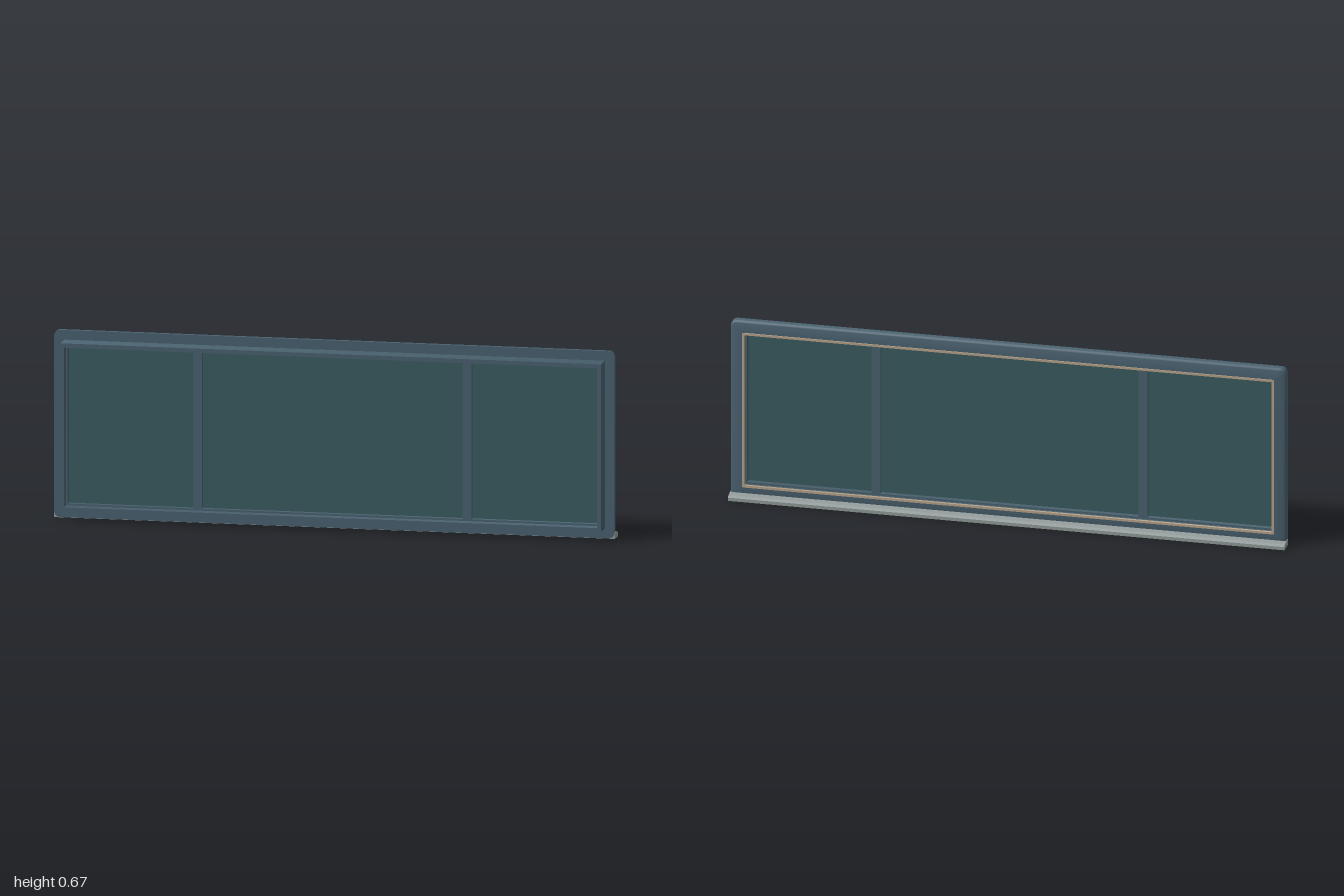
import * as THREE from 'three';
import { toCreasedNormals } from 'three/addons/utils/BufferGeometryUtils.js';

const mat = (color) => new THREE.MeshStandardMaterial({ color });

// Rounded rectangle outline, counter-clockwise seen from the front
function outline(x, y0, y1, r) {
  const pts = [], n = 5;
  const corners = [[x - r, y1 - r], [-x + r, y1 - r], [-x + r, y0 + r], [x - r, y0 + r]];
  corners.forEach(([cx, cy], k) => {
    for (let i = 0; i <= n; i++) {
      const a = (k + i / n) * Math.PI / 2;
      pts.push([cx + r * Math.cos(a), cy + r * Math.sin(a)]);
    }
  });
  return pts;
}

// Closed picture-frame ring: profile points are [inset, z], running
// from the outer front edge to the back and round by the inner edge
function frame(name, x, y0, y1, r, profile, material) {
  const rings = profile.map(([d, z]) =>
    outline(x - d, y0 + d, y1 - d, Math.max(r - d, 0.0005)).map(([px, py]) => [px, py, z]));
  const pos = [], m = rings.length, n = rings[0].length;
  for (let i = 0; i < m; i++) {
    for (let j = 0; j < n; j++) {
      const a = rings[i][j], b = rings[i][(j + 1) % n];
      const c = rings[(i + 1) % m][(j + 1) % n], d = rings[(i + 1) % m][j];
      pos.push(...a, ...d, ...b, ...d, ...c, ...b);
    }
  }
  const g = new THREE.BufferGeometry();
  g.setAttribute('position', new THREE.Float32BufferAttribute(pos, 3));
  const mesh = new THREE.Mesh(toCreasedNormals(g, 0.6), material);
  mesh.name = name;
  return mesh;
}

// Square-edged profile of thickness t between two depths
const bar = (t, front, back) => [[0, front], [0, back], [t, back], [t, front]];

function box(name, w, h, d, x, y, z, material) {
  const mesh = new THREE.Mesh(new THREE.BoxGeometry(w, h, d), material);
  mesh.name = name;
  mesh.position.set(x, y, z);
  return mesh;
}

export function createModel() {
  const group = new THREE.Group();
  group.name = 'window';
  const paint = mat(0x4a6270), glass = mat(0x3a5c60);
  const sealant = mat(0xb8a58c), stone = mat(0x929c9a);

  // Outer casing, rounded over on its back outer edge
  const casing = [[0, -0.004], [0, -0.02], [0.001, -0.025], [0.004, -0.029],
    [0.009, -0.031], [0.046, -0.031], [0.046, -0.004]];
  group.add(frame('casing', 0.999, 0.001, 0.667, 0.022, casing, paint));

  // Deep lining and the sash inside it
  group.add(frame('lining', 0.965, 0.035, 0.633, 0.004, bar(0.015, 0.065, -0.028), paint));
  group.add(frame('sash', 0.951, 0.049, 0.619, 0.001, bar(0.008, 0.03, -0.012), paint));

  // Thin sealing strip on the back
  group.add(frame('seal', 0.956, 0.044, 0.623, 0.006, bar(0.008, -0.025, -0.035), sealant));

  // Glass and the two upright mullions
  group.add(box('glass', 1.896, 0.564, 0.006, 0, 0.334, 0.009, glass));
  for (const s of [-1, 1]) {
    group.add(box('mullion', 0.032, 0.568, 0.042, s * 0.48, 0.334, 0.009, paint));
  }

  // Sill with a sloping, chamfered nose to the back
  const profile = new THREE.Shape([[0.005, 0], [0.063, 0], [0.063, 0.012],
    [0.054, 0.018], [0.032, 0.022], [0.005, 0.022]].map(([a, b]) => new THREE.Vector2(a, b)));
  const sillGeometry = new THREE.ExtrudeGeometry(profile, { depth: 2, bevelEnabled: false });
  sillGeometry.rotateY(Math.PI / 2).translate(-1, 0, 0);
  const sill = new THREE.Mesh(sillGeometry, stone);
  sill.name = 'sill';
  group.add(sill);
  return group;
}
